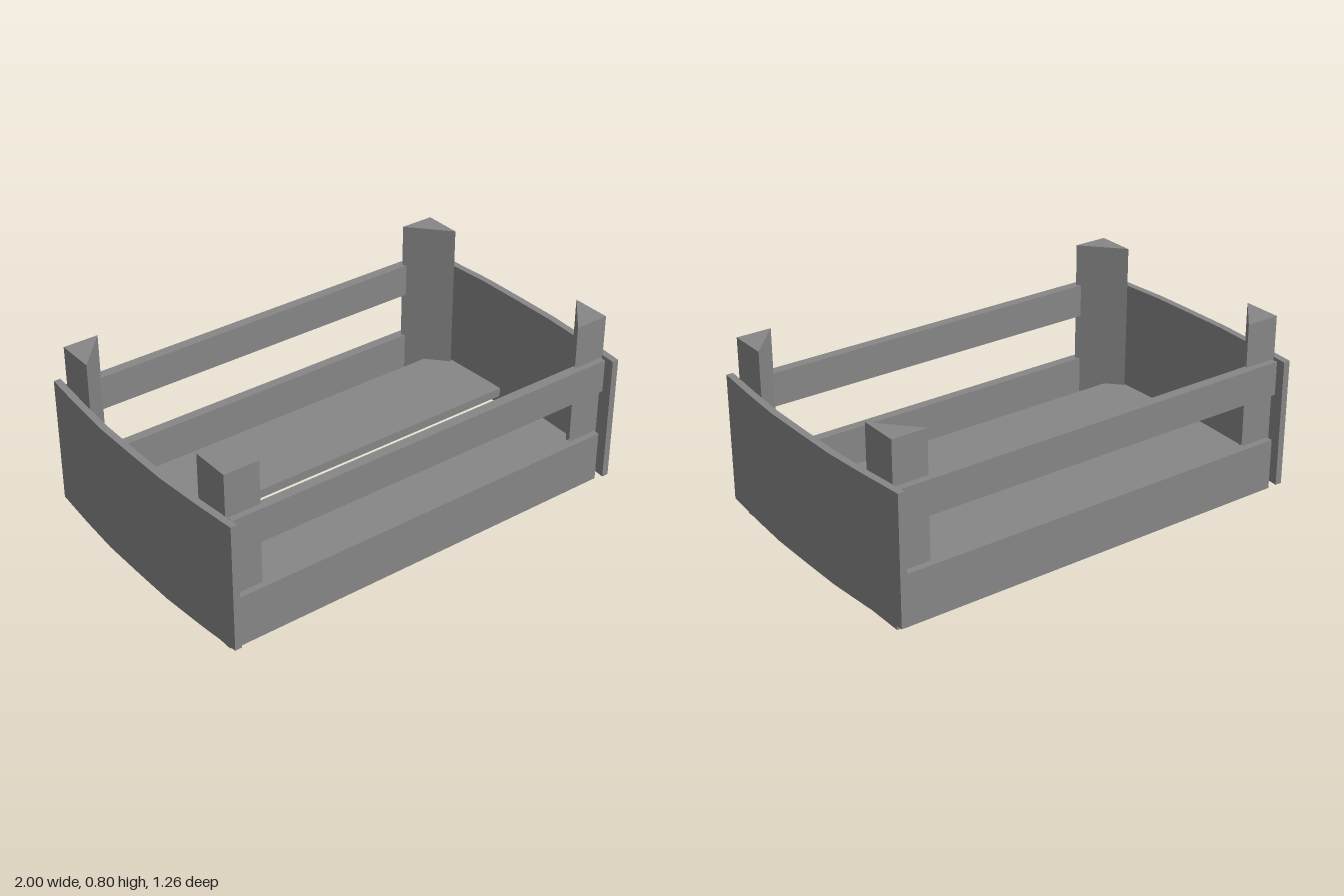
import * as THREE from 'three';

const material = new THREE.MeshStandardMaterial({ color: 0x878787, flatShading: true });

// Prism standing on y0, from a floor-plan outline of [x, z] points
function prism(name, outline, y0, y1) {
  const shape = new THREE.Shape(outline.map(([x, z]) => new THREE.Vector2(x, -z)));
  const geometry = new THREE.ExtrudeGeometry(shape, { depth: y1 - y0, bevelEnabled: false });
  geometry.rotateX(-Math.PI / 2);
  geometry.translate(0, y0, 0);
  const mesh = new THREE.Mesh(geometry, material);
  mesh.name = name;
  return mesh;
}

function box(name, w, y0, y1, z0, z1) {
  const mesh = new THREE.Mesh(new THREE.BoxGeometry(w, y1 - y0, z1 - z0), material);
  mesh.position.set(0, (y0 + y1) / 2, (z0 + z1) / 2);
  mesh.name = name;
  return mesh;
}

export function createModel() {
  const crate = new THREE.Group();
  crate.name = 'crate';

  // Bowed end panels
  const bow = [[1, 0], [0.999, 0.21], [0.985, 0.42], [0.966, 0.63]];
  const outer = [...bow.slice(1).reverse().map(([x, z]) => [x, -z]), ...bow];
  const inner = outer.map(([x, z]) => [x - 0.031, z]).reverse();
  for (const [side, s] of [['left', 1], ['right', -1]]) {
    const outline = [...outer, ...inner].map(([x, z]) => [s * x, z]);
    crate.add(prism(side + 'EndPanel', outline, 0.047, 0.617));
  }

  // Triangular corner posts
  for (const [end, t] of [['front', 1], ['back', -1]]) {
    for (const [side, s] of [['Left', 1], ['Right', -1]]) {
      const outline = [[0.943, 0.562], [0.787, 0.562], [0.943, 0.387]].map(([x, z]) => [s * x, t * z]);
      crate.add(prism(end + side + 'Post', outline, 0, 0.8));
    }
    // Long side slats
    const [z0, z1] = t > 0 ? [0.545, 0.59] : [-0.593, -0.548];
    crate.add(box(end + 'LowerSlat', 1.862, 0.018, 0.247, z0, z1));
    crate.add(box(end + 'UpperSlat', 1.862, 0.458, 0.608, z0, z1));
  }

  // Floor boards, tapering towards the corners
  const floor = [
    ['frontFloorBoard', [0.963, 0.046], [0.947, 0.457]],
    ['backFloorBoard', [0.972, -0.072], [0.952, -0.48]],
  ];
  for (const [name, [xa, za], [xb, zb]] of floor) {
    crate.add(prism(name, [[-xa, za], [xa, za], [xb, zb], [-xb, zb]], 0.09, 0.13));
  }

  return crate;
}
